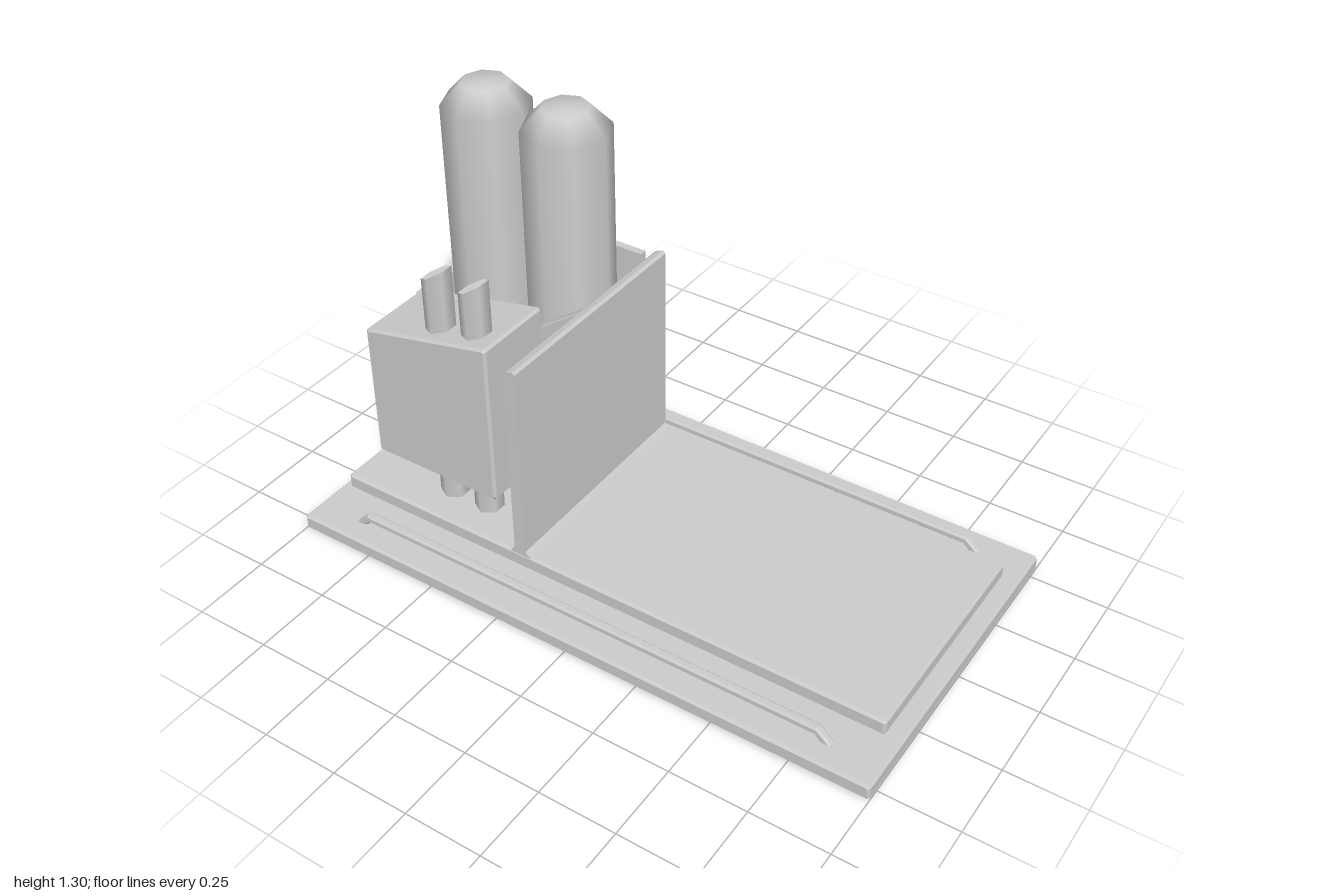
import * as THREE from 'three';

const grey = new THREE.MeshStandardMaterial({ color: 0xcccccc });

function add(parent, geometry, name) {
  const mesh = new THREE.Mesh(geometry, grey);
  mesh.name = name;
  parent.add(mesh);
  return mesh;
}

// Side profile (x, y) extruded from z0 to z1, with chamfers kept inside the outline
function slab(points, z0, z1, b = 0.008) {
  const shape = new THREE.Shape(points.map(([x, y]) => new THREE.Vector2(x, y)));
  const geo = new THREE.ExtrudeGeometry(shape, {
    depth: z1 - z0 - 2 * b, bevelEnabled: b > 0, bevelThickness: b,
    bevelSize: b, bevelOffset: -b, bevelSegments: 1,
  });
  return geo.translate(0, 0, z0 + b);
}

// Rectangle with clipped corners
function plate(x0, x1, y0, y1, b = 0.008) {
  return [[x0 + b, y0], [x1 - b, y0], [x1, y0 + b], [x1, y1 - b],
    [x1 - b, y1], [x0 + b, y1], [x0, y1 - b], [x0, y0 + b]];
}

// Thin bent sheet: each station is [outer x, outer z, inner x, inner z, top y]
function bentSheet(stations, bottom) {
  const loops = stations.map(([ox, oz, ix, iz, top]) => [
    [ox, bottom, oz], [ox, top, oz], [ix, top, iz], [ix, bottom, iz],
  ]);
  const pos = [];
  const quad = (a, b, c, d) => pos.push(...a, ...b, ...c, ...a, ...c, ...d);
  for (let i = 0; i < loops.length - 1; i++) {
    for (let j = 0; j < 4; j++) {
      const k = (j + 1) % 4;
      quad(loops[i][j], loops[i + 1][j], loops[i + 1][k], loops[i][k]);
    }
  }
  const first = loops[0], last = loops[loops.length - 1];
  quad(first[0], first[1], first[2], first[3]);
  quad(last[3], last[2], last[1], last[0]);
  const geo = new THREE.BufferGeometry();
  geo.setAttribute('position', new THREE.Float32BufferAttribute(pos, 3));
  geo.computeVertexNormals();
  return geo;
}

export function createModel() {
  const model = new THREE.Group();
  model.name = 'tankStation';

  // Ground plate and the raised deck above it
  add(model, slab(plate(-1, 1, 0, 0.053), -0.545, 0.545), 'basePlate');
  add(model, slab(plate(-0.955, 0.955, 0.072, 0.126), -0.38, 0.38), 'deck');

  // Long rails on both sides, bent down at the ends
  for (const side of [-1, 1]) {
    const rail = [[-0.85, 0.045], [-0.8, 0.094], [0.8, 0.094], [0.85, 0.045],
      [0.815, 0.045], [0.79, 0.068], [-0.79, 0.068], [-0.815, 0.045]];
    const z = side * 0.463;
    add(model, slab(rail, z - 0.014, z + 0.014, 0.006), side > 0 ? 'frontRail' : 'backRail');
  }

  // Cross wall with a flared foot
  add(model, slab([[-0.308, 0.122], [-0.24, 0.122], [-0.24, 0.126], [-0.254, 0.141],
    [-0.254, 0.792], [-0.262, 0.8], [-0.286, 0.792], [-0.294, 0.785],
    [-0.294, 0.141], [-0.308, 0.126]], -0.38, 0.38, 0), 'crossWall');

  // Sloping divider between tanks and box, with its foot
  add(model, slab([[-0.955, 0.12], [-0.285, 0.12], [-0.285, 0.79], [-0.955, 0.315]],
    -0.02, 0.02, 0.005), 'divider');
  const foot = slab([[-0.036, 0.122], [0.036, 0.122], [0.02, 0.141], [-0.02, 0.141]],
    0, 0.66, 0);
  foot.rotateY(Math.PI / 2).translate(-0.955, 0, 0);
  add(model, foot, 'dividerFoot');

  // Slant-topped box
  add(model, slab([[-0.847, 0.235], [-0.406, 0.235], [-0.398, 0.243], [-0.398, 0.782],
    [-0.406, 0.79], [-0.847, 0.695], [-0.855, 0.685], [-0.855, 0.243]],
    0.06, 0.33), 'controlBox');

  // Hexagonal pipes through the box, tops cut at a slant
  const bottom = 0.05, top = 0.932;
  for (const x of [-0.625, -0.49]) {
    const geo = new THREE.CylinderGeometry(0.046, 0.046, top - bottom, 6);
    const p = geo.attributes.position;
    for (let i = 0; i < p.count; i++) {
      if (p.getY(i) > 0) p.setY(i, p.getY(i) + 0.6 * p.getX(i));
    }
    add(model, geo, 'pipe').position.set(x, (top + bottom) / 2, 0.25);
  }

  // Tall eight-sided tanks with tapered shoulders
  const profile = [[0, 0.12], [0.14, 0.12], [0.14, 0.13], [0.14, 1.23], [0.075, 1.297], [0, 1.297]]
    .map(([r, y]) => new THREE.Vector2(r, y));
  for (const x of [-0.785, -0.49]) {
    add(model, new THREE.LatheGeometry(profile, 8), 'tank').position.set(x, 0, -0.215);
  }

  // Bent guard around the back corner of the tanks
  add(model, bentSheet([
    [-0.347, -0.408, -0.347, -0.383, 0.755],
    [-0.72, -0.408, -0.72, -0.383, 0.755],
    [-0.83, -0.408, -0.815, -0.383, 0.58],
    [-0.975, -0.33, -0.95, -0.31, 0.58],
    [-0.975, -0.035, -0.95, -0.035, 0.58],
  ], 0.23), 'tankGuard');

  return model;
}
